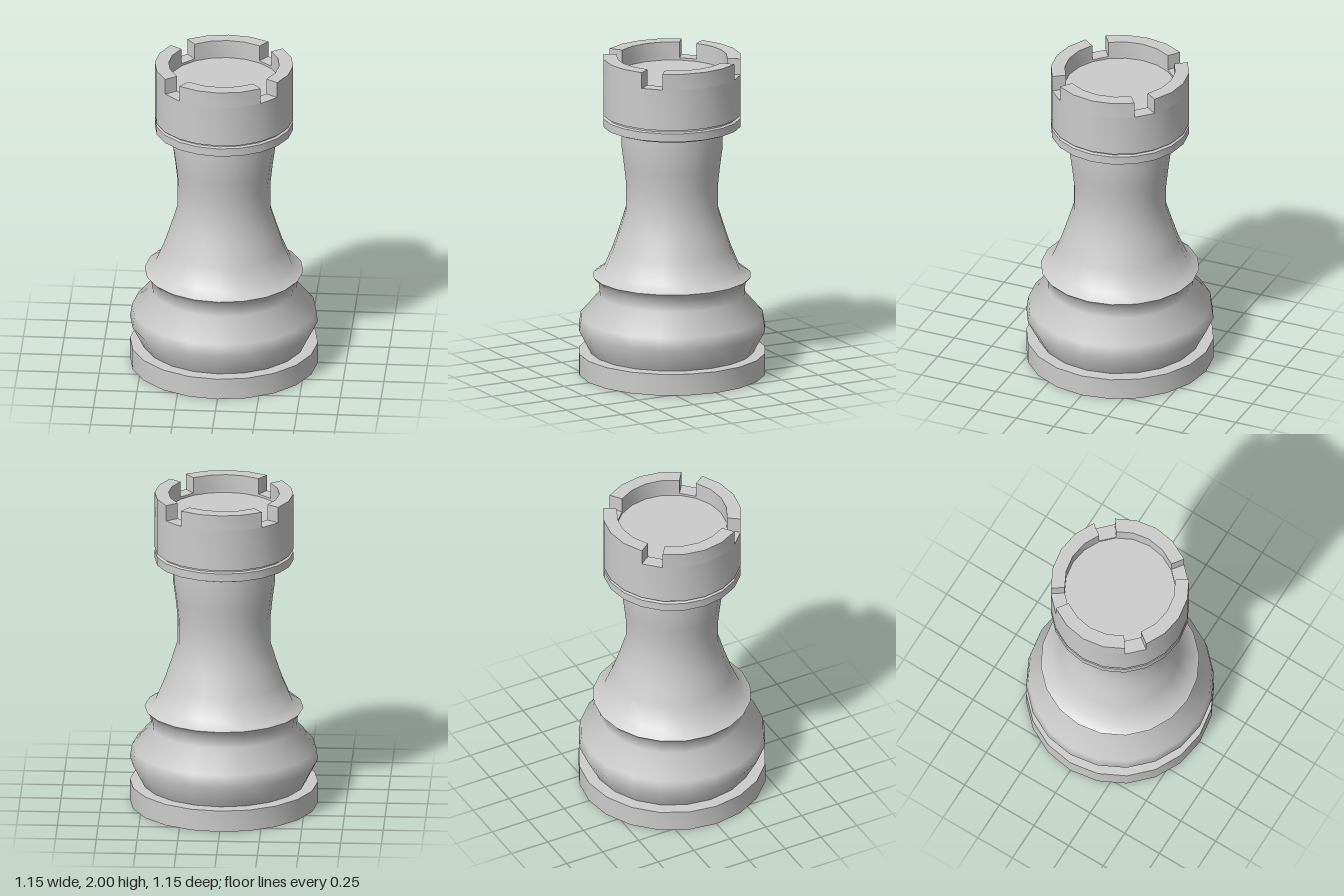
import * as THREE from 'three';
import { toCreasedNormals } from 'three/addons/utils/BufferGeometryUtils.js';

const SIDES = 20;
const STEP = (Math.PI * 2) / SIDES;
const R_OUT = 0.425, R_IN = 0.34, SILL = 1.9, TOP = 2;

export function createModel() {
  const group = new THREE.Group();
  const material = new THREE.MeshStandardMaterial({ color: 0xcccccc });

  const add = (name, geometry) => {
    const mesh = new THREE.Mesh(toCreasedNormals(geometry, 0.95), material);
    mesh.name = name;
    group.add(mesh);
    return mesh;
  };
  // Turned part from [radius, height] pairs, listed from bottom to top
  const turned = (name, profile) =>
    add(name, new THREE.LatheGeometry(profile.map(([r, y]) => new THREE.Vector2(r, y)), SIDES));

  // Flat disc foot
  turned('base', [[0, 0], [0.577, 0], [0.577, 0.135], [0.503, 0.137]]);

  // Rounded belly, pinched ring and tapering neck
  turned('body', [
    [0.503, 0.137], [0.577, 0.28], [0.565, 0.36], [0.447, 0.497], [0.455, 0.577], [0.487, 0.614],
    [0.42, 0.658], [0.365, 0.79], [0.325, 0.91], [0.285, 1.04],
    [0.285, 1.2], [0.298, 1.32], [0.314, 1.44], [0.314, 1.555],
  ]);

  // Thin collar with a groove above it
  turned('collar', [[0.314, 1.555], [0.39, 1.557], [R_OUT, 1.57], [R_OUT, 1.622], [0.407, 1.628], [0.407, 1.64]]);

  // Drum of the tower with a shallow recessed floor
  turned('tower', [[0.407, 1.64], [R_OUT, 1.642], [R_OUT, SILL], [R_IN, SILL], [R_IN, 1.885], [0, 1.885]]);

  // Four battlements, each four sides wide, with one-side notches on the diagonals
  const outline = [];
  for (let i = -2; i <= 2; i++) outline.push(new THREE.Vector2(R_OUT * Math.cos(i * STEP), R_OUT * Math.sin(i * STEP)));
  for (let i = 2; i >= -2; i--) outline.push(new THREE.Vector2(R_IN * Math.cos(i * STEP), R_IN * Math.sin(i * STEP)));
  const battlement = new THREE.ExtrudeGeometry(new THREE.Shape(outline), { depth: TOP - SILL, bevelEnabled: false });
  battlement.rotateX(-Math.PI / 2).translate(0, SILL, 0);
  for (let k = 0; k < 4; k++) add('battlement' + (k + 1), battlement).rotation.y = (k * Math.PI) / 2;

  return group;
}
